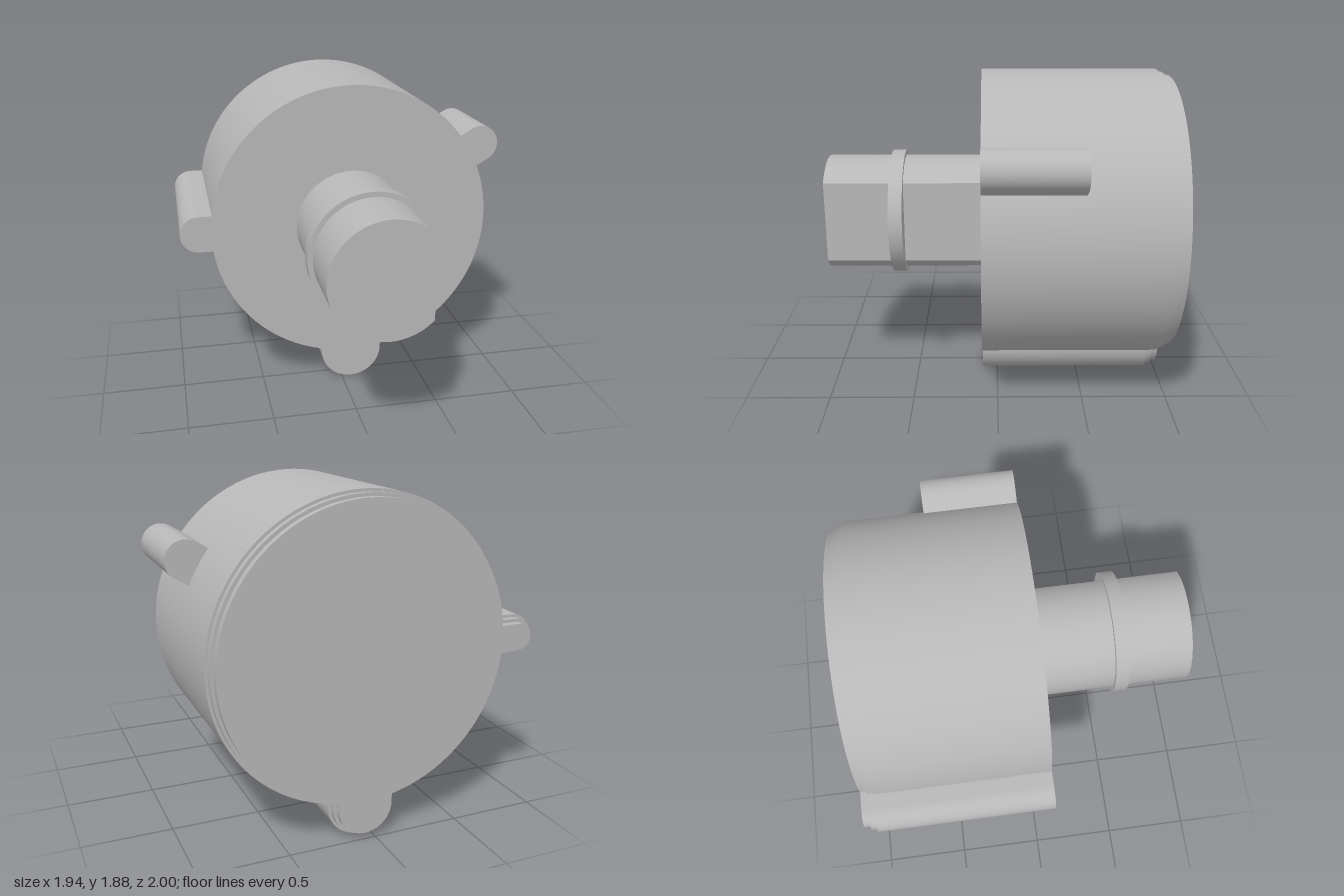
import * as THREE from 'three';
import { toCreasedNormals } from 'three/addons/utils/BufferGeometryUtils.js';

const CX = 0.06, CY = 1.035, R = 0.846;
const RIGHT_ANGLE = -Math.PI / 2;

// Lugs around the rim: direction, distance of the rounded end's centre, radius
const leftLug = { a: Math.PI, d: 0.92, r: 0.11 };
const bottomLug = { a: Math.PI * 1.5, d: 0.845, r: 0.19 };
const shortLug = { a: Math.PI / 6, d: 0.92, r: 0.11 };

function addLugEnd(shape, { a, d, r }) {
  shape.absarc(d * Math.cos(a), d * Math.sin(a), r, a + RIGHT_ANGLE, a - RIGHT_ANGLE, false);
}

// Round housing outline with the two full-length lugs, shrunk by an inset
function housingShape(inset) {
  const s = new THREE.Shape();
  const rad = R - inset;
  const lugs = [leftLug, bottomLug].map((l) => ({ ...l, r: l.r - inset }));
  let start = lugs[1].a - 2 * Math.PI + Math.asin(lugs[1].r / rad);
  for (const lug of lugs) {
    const half = Math.asin(lug.r / rad);
    s.absarc(0, 0, rad, start, lug.a - half, false);
    addLugEnd(s, lug);
    start = lug.a + half;
  }
  s.closePath();
  return s;
}

// Lug whose inner edge follows the housing wall
function shortLugShape() {
  const s = new THREE.Shape();
  const half = Math.asin(shortLug.r / R);
  addLugEnd(s, shortLug);
  s.absarc(0, 0, R, shortLug.a + half, shortLug.a - half, true);
  s.closePath();
  return s;
}

// Round shaft with one flat on its left side
function shaftShape() {
  const r = 0.337, half = Math.acos(0.24 / r);
  const s = new THREE.Shape();
  s.absarc(0, 0, r, half, 2 * Math.PI - half, false);
  s.closePath();
  return s;
}

export function createModel() {
  const group = new THREE.Group();
  const grey = new THREE.MeshStandardMaterial({ color: 0xb8b8b8 });
  grey.name = 'grey';

  const add = (name, shape, z0, z1) => {
    const geo = new THREE.ExtrudeGeometry(shape, { depth: z1 - z0, bevelEnabled: false, curveSegments: 64 });
    const mesh = new THREE.Mesh(toCreasedNormals(geo, 0.35), grey);
    mesh.name = name;
    mesh.position.set(CX, CY, z0);
    group.add(mesh);
  };

  // Housing with two stepped rims at the back
  add('housing', housingShape(0), -0.925, 0.09);
  add('rearStep', housingShape(0.016), -0.96, -0.925);
  add('rearPlate', housingShape(0.035), -1, -0.96);
  add('shortLug', shortLugShape(), -0.455, 0.09);

  // Shaft and collar
  add('shaft', shaftShape(), 0.09, 1);
  const collar = new THREE.Shape();
  collar.absarc(0, 0, 0.367, 0, Math.PI * 2, false);
  add('collar', collar, 0.543, 0.622);

  return group;
}
